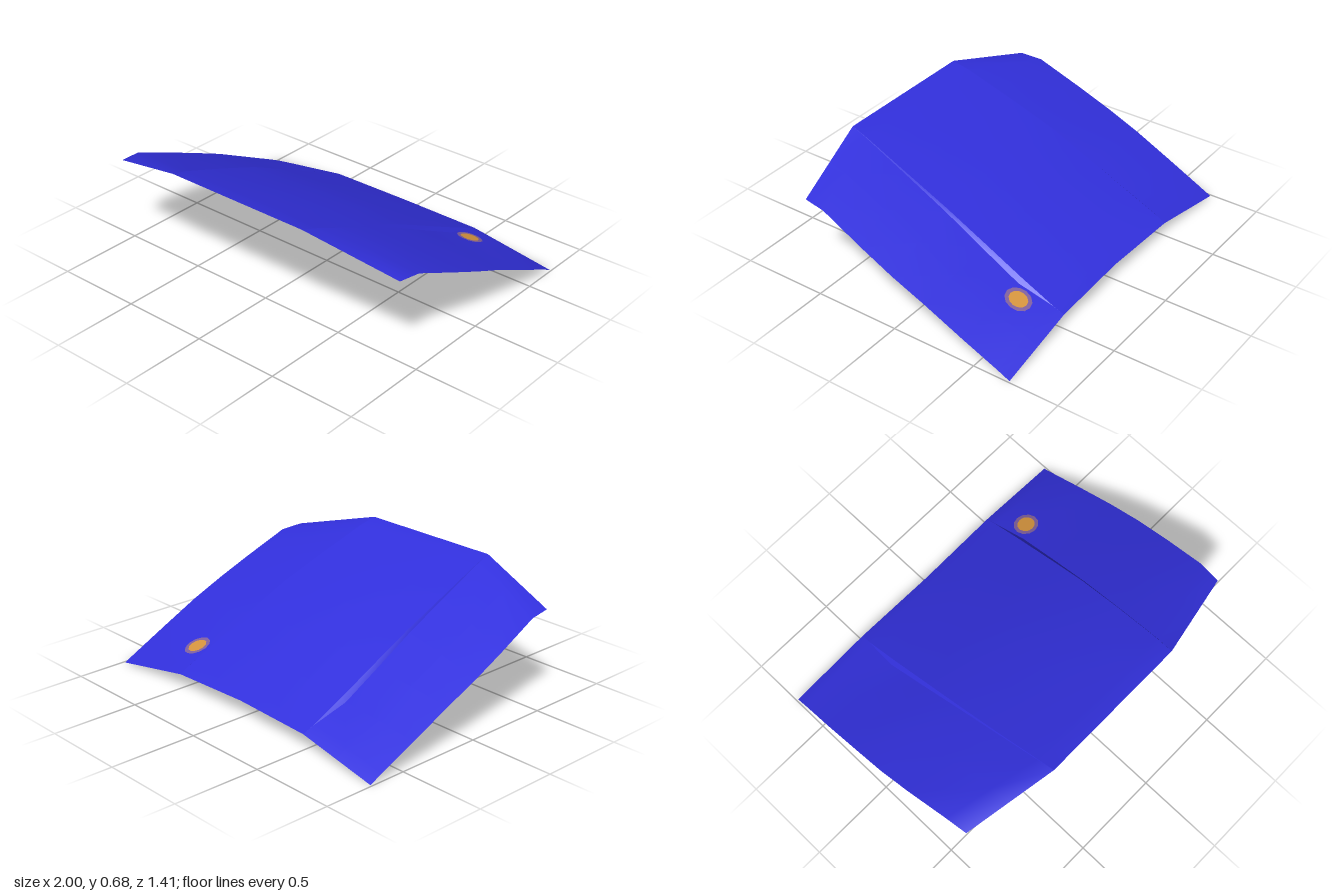
import * as THREE from 'three';

// Half-panel guide lines, front to rear: [x, y, z]
const centre = [[0, .68, .705], [0, .655, .6], [0, .555, .32], [0, .455, .05], [0, .338, -.2], [0, .228, -.43], [0, .13, -.63], [0, .1, -.685]];
const crease = [[.44, .68, .705], [.45, .65, .6], [.47, .545, .32], [.485, .44, .05], [.492, .323, -.2], [.498, .213, -.43], [.5, .12, -.63], [.495, .09, -.695]];
const stepFoot = [[.44, .68, .705], [.452, .647, .6], [.475, .536, .32], [.495, .423, .05], [.51, .301, -.2], [.522, .189, -.43], [.502, .12, -.63], [.495, .09, -.695]];
const edge = [[.955, .54, .59], [.97, .53, .46], [.99, .42, .2], [1, .335, 0], [1, .25, -.2], [.997, .14, -.43], [.991, .04, -.64], [.99, .005, -.71]];

// Halfway line between two guides, lifted into a slight crown
const between = (a, b, lift) => a.map((p, i) => p.map((v, k) =>
  (v + b[i][k]) / 2 + (k === 1 && i > 0 && i < a.length - 1 ? lift : 0)));
const mirror = (line) => line.map(([x, y, z]) => [-x, y, z]);

// Sheet through guide lines ordered from -x to +x
function loft(lines) {
  const rows = lines[0].length, index = [];
  for (let c = 0; c < lines.length - 1; c++) {
    for (let r = 0; r < rows - 1; r++) {
      const a = c * rows + r, b = a + rows;
      index.push(a, b, a + 1, b, b + 1, a + 1);
    }
  }
  const g = new THREE.BufferGeometry();
  g.setAttribute('position', new THREE.Float32BufferAttribute(lines.flat(2), 3));
  g.setIndex(index);
  g.computeVertexNormals();
  return g;
}

export function createModel() {
  const group = new THREE.Group();
  const material = (name, color) => {
    const m = new THREE.MeshStandardMaterial({ color, side: THREE.DoubleSide });
    m.name = name;
    return m;
  };
  const blue = material('blue paint', 0x3230de);
  const gold = material('gold', 0xd8963f);
  const mauve = material('mauve', 0x80609f);
  const add = (name, geometry, mat) => {
    const mesh = new THREE.Mesh(geometry, mat);
    mesh.name = name;
    group.add(mesh);
    return mesh;
  };

  // Raised centre panel
  const inner = between(centre, crease, .004);
  add('centrePanel', loft([mirror(crease), mirror(inner), centre, inner, crease]), blue);

  // Tapering steps and sloping side panels
  const mid = between(stepFoot, edge, .006);
  add('leftStep', loft([crease, stepFoot]), blue);
  add('rightStep', loft([mirror(stepFoot), mirror(crease)]), blue);
  const leftPanel = add('leftPanel', loft([stepFoot, mid, edge]), blue);
  add('rightPanel', loft([mirror(edge), mirror(mid), mirror(stepFoot)]), blue);

  // Round badge draped on both faces of the left panel
  const ray = new THREE.Raycaster();
  const down = new THREE.Vector3(0, -1, 0);
  function drape(geometry, offset) {
    geometry.rotateX(-Math.PI / 2).translate(.605, 0, -.49);
    const p = geometry.attributes.position;
    for (let i = 0; i < p.count; i++) {
      ray.set(new THREE.Vector3(p.getX(i), 2, p.getZ(i)), down);
      const hit = ray.intersectObject(leftPanel)[0];
      p.setY(i, (hit ? hit.point.y : .16) + offset);
    }
    geometry.computeVertexNormals();
    return geometry;
  }
  for (const [side, offset] of [['Top', .004], ['Underside', -.004]]) {
    add('badgeCentre' + side, drape(new THREE.RingGeometry(0, .05, 12, 3), offset), gold);
    add('badgeRim' + side, drape(new THREE.RingGeometry(.05, .071, 12, 1), offset), mauve);
  }
  return group;
}
